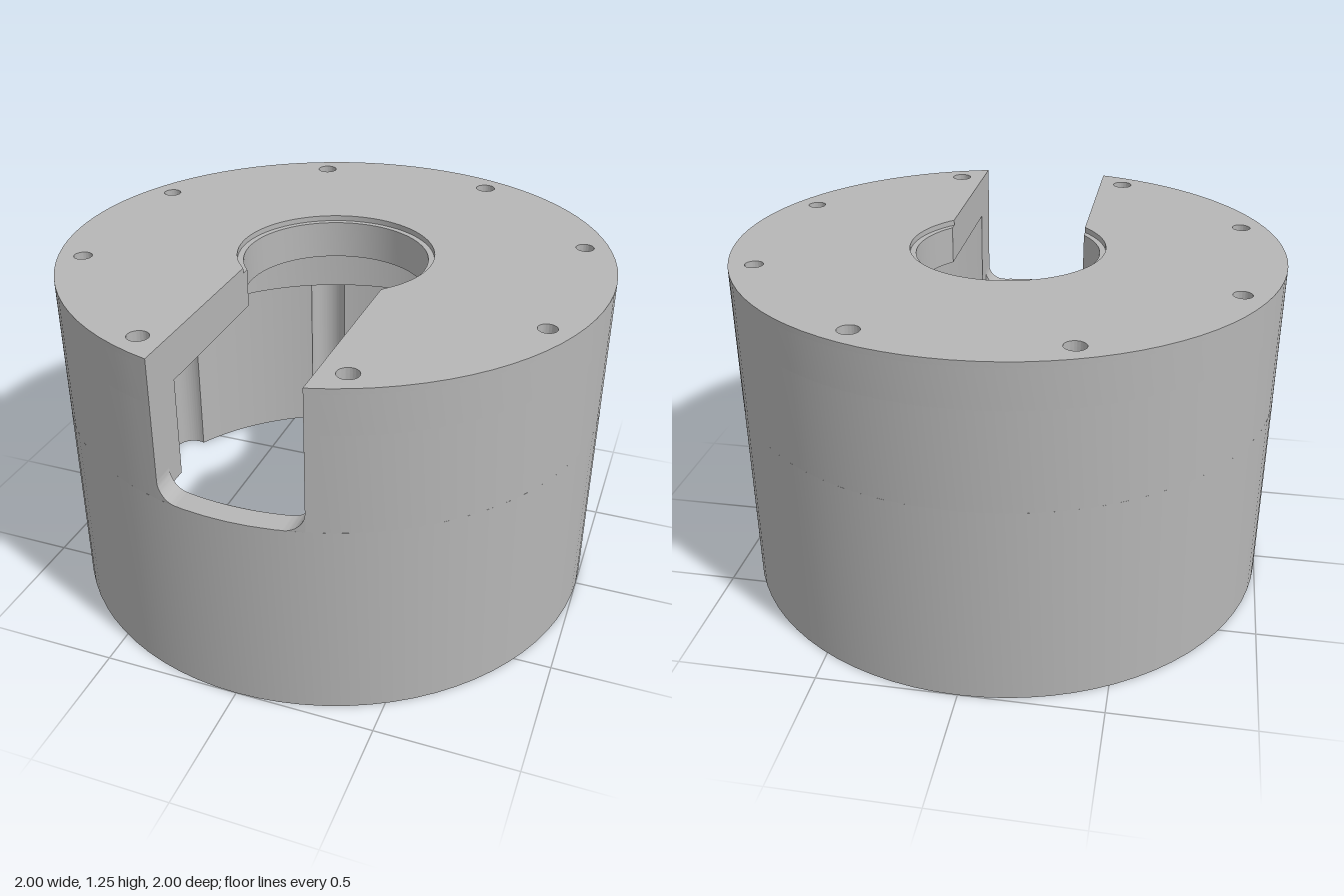
import * as THREE from 'three';
import { toCreasedNormals } from 'three/addons/utils/BufferGeometryUtils.js';

const R = 1;            // outer radius
const WALL_IN = 0.917;  // inner radius of the lower wall
const RING_IN = 0.84;   // inner radius of the thick upper wall
const SLOT = 0.255;     // half width of the front slot
const LEDGE = 0.735;    // bottom of the window and of the thick wall
const PLATE = 1.09;     // underside of the top plate
const STEP = 1.23;      // floor of the shallow counterbore
const TOP = 1.25;
const BOLT_R = 0.91;    // bolt circle
const GROOVE_R = 0.075;

export function createModel() {
  const group = new THREE.Group();
  const grey = new THREE.MeshStandardMaterial({ color: 0xb6b6b6 });

  const add = (name, geometry) => {
    const mesh = new THREE.Mesh(toCreasedNormals(geometry, 0.5), grey);
    mesh.name = name;
    group.add(mesh);
  };

  // Extrudes a plan outline (shape y = -z) between two heights
  const addLayer = (name, shape, y0, y1) => {
    const g = new THREE.ExtrudeGeometry(shape, { depth: y1 - y0, bevelEnabled: false, curveSegments: 40 });
    g.rotateX(-Math.PI / 2);
    g.translate(0, y0, 0);
    add(name, g);
  };

  const boltAngles = Array.from({ length: 8 }, (_, i) => (i + 0.5) * Math.PI / 4);
  const isThrough = (a) => Math.abs(Math.sin(a)) > 0.7;

  // Disc with a round bore and a slot opening to the front
  const slottedDisc = (bore, withBlindHoles) => {
    const s = new THREE.Shape();
    const a = Math.asin(SLOT / R), b = Math.asin(SLOT / bore);
    s.absarc(0, 0, R, -Math.PI / 2 + a, 1.5 * Math.PI - a, false);
    s.absarc(0, 0, bore, 1.5 * Math.PI - b, -Math.PI / 2 + b, true);
    s.closePath();
    for (const t of boltAngles) {
      if (!isThrough(t) && !withBlindHoles) continue;
      const hole = new THREE.Path();
      hole.absarc(BOLT_R * Math.cos(t), BOLT_R * Math.sin(t), isThrough(t) ? 0.037 : 0.033, 0, Math.PI * 2, true);
      s.holes.push(hole);
    }
    return s;
  };

  // Lower wall, its inside scalloped by eight screw grooves
  const wall = new THREE.Shape();
  wall.absarc(0, 0, R, 0, Math.PI * 2, false);
  const inner = new THREE.Path();
  const d = Math.acos((WALL_IN ** 2 + BOLT_R ** 2 - GROOVE_R ** 2) / (2 * WALL_IN * BOLT_R));
  const phi = Math.atan2(WALL_IN * Math.sin(d), WALL_IN * Math.cos(d) - BOLT_R);
  for (const t of boltAngles) {
    inner.absarc(BOLT_R * Math.cos(t), BOLT_R * Math.sin(t), GROOVE_R, t - phi, t + phi, false);
    inner.absarc(0, 0, WALL_IN, t + d, t + Math.PI / 4 - d, false);
  }
  wall.holes.push(inner);
  addLayer('lowerWall', wall, 0, LEDGE);

  // Thick upper wall and the keyhole top plate with its counterbore
  addLayer('upperWall', slottedDisc(RING_IN, false), LEDGE, PLATE);
  addLayer('topPlate', slottedDisc(0.335, true), PLATE, STEP);
  addLayer('counterboreLayer', slottedDisc(0.357, true), STEP, TOP);

  // Rounded lower corners of the window, bent to follow the wall
  const f = 0.07;
  for (const side of [-1, 1]) {
    const c = new THREE.Shape();
    const x = side * SLOT, cx = side * (SLOT - f);
    c.moveTo(x, LEDGE);
    c.lineTo(x, LEDGE + f);
    c.absarc(cx, LEDGE + f, f, side > 0 ? 0 : Math.PI, -Math.PI / 2, side > 0);
    c.closePath();
    const g = new THREE.ExtrudeGeometry(c, { depth: 1, bevelEnabled: false, curveSegments: 8 });
    const p = g.attributes.position;
    for (let i = 0; i < p.count; i++) {
      const r = p.getZ(i) > 0.5 ? R : WALL_IN;
      p.setZ(i, Math.sqrt(r * r - p.getX(i) ** 2));
    }
    add(side > 0 ? 'windowCornerLeft' : 'windowCornerRight', g);
  }

  return group;
}
